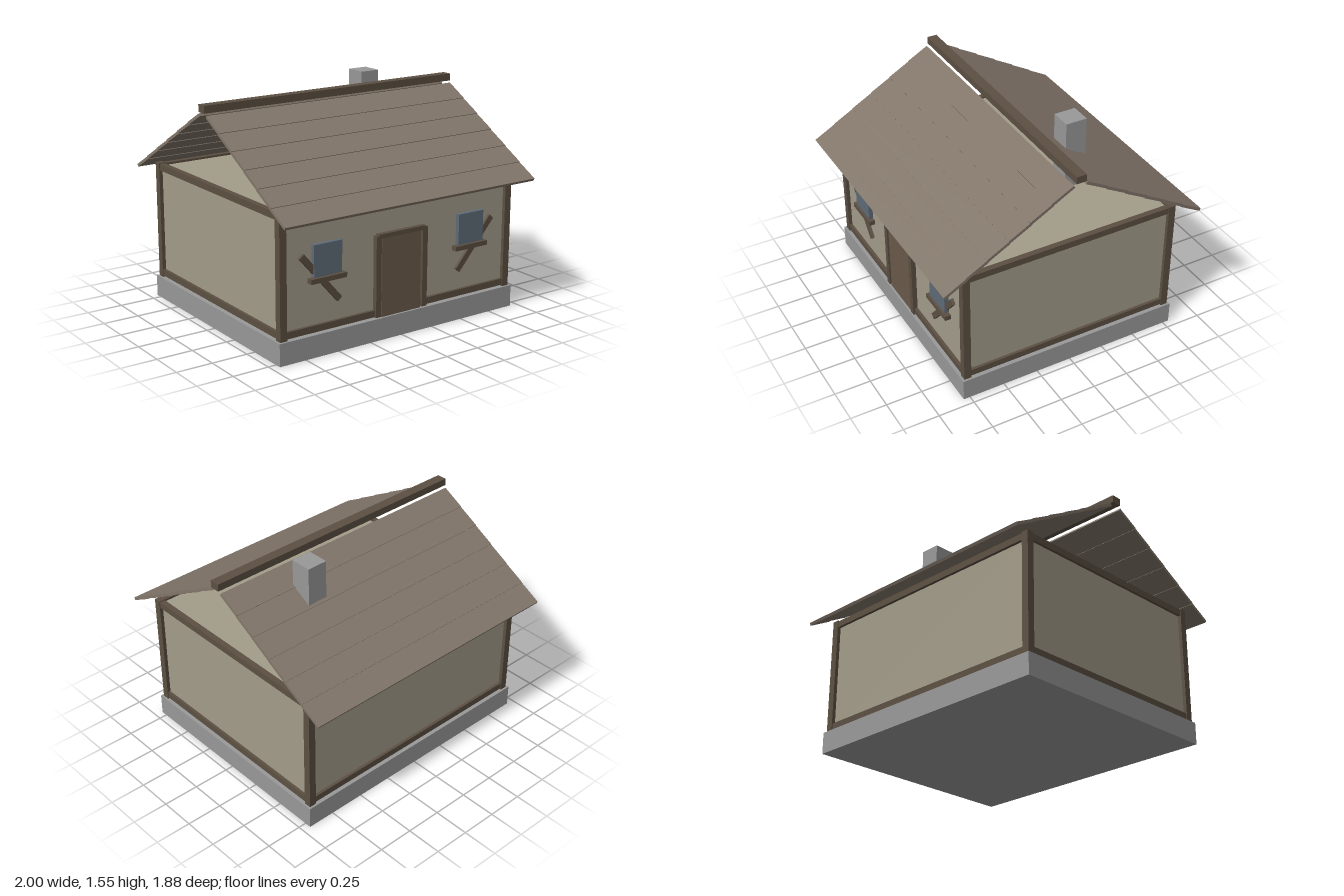
import * as THREE from 'three';

const paint = (color) => new THREE.MeshStandardMaterial({ color });

export function createModel() {
  const house = new THREE.Group();
  house.name = 'cottage';
  const stone = paint(0x999999);
  const plaster = paint(0xa39c8a);
  const timber = paint(0x5c5042);
  const plank = paint(0x82766a);
  const doorWood = paint(0x6a5a4a);
  const glass = paint(0x5f6b78);

  // Box given by its size and centre
  function box(name, material, size, centre, parent = house) {
    const mesh = new THREE.Mesh(new THREE.BoxGeometry(...size), material);
    mesh.position.set(...centre);
    mesh.name = name;
    parent.add(mesh);
    return mesh;
  }

  // Base and walls
  box('foundation', stone, [1.89, 0.15, 1.59], [0, 0.075, 0]);
  box('walls', plaster, [1.81, 0.8, 1.51], [0, 0.55, 0]);

  // Timber frame: corner posts, sill beams and top beams
  for (const x of [-1, 1]) {
    for (const z of [-1, 1]) {
      box('cornerPost', timber, [0.05, 0.82, 0.05], [x * 0.905, 0.56, z * 0.755]);
    }
  }
  for (const [name, y, h] of [['sillBeam', 0.182, 0.045], ['topBeam', 0.942, 0.045]]) {
    for (const s of [-1, 1]) {
      box(name, timber, [1.76, h, 0.04], [0, y, s * 0.755]);
      box(name, timber, [0.04, h, 1.46], [s * 0.905, y, 0]);
    }
  }

  // Door with its frame
  box('door', doorWood, [0.315, 0.53, 0.03], [0, 0.415, 0.765]);
  for (const s of [-1, 1]) {
    box('doorJamb', timber, [0.04, 0.545, 0.04], [s * 0.187, 0.428, 0.768]);
  }
  box('doorLintel', timber, [0.375, 0.03, 0.04], [0, 0.695, 0.768]);

  // Windows with sill and slanted brace
  for (const s of [-1, 1]) {
    box('windowPane', glass, [0.21, 0.21, 0.03], [s * 0.577, 0.625, 0.77]);
    box('windowSill', timber, [0.27, 0.032, 0.05], [s * 0.577, 0.5, 0.772]);
    const brace = box('wallBrace', timber, [0.042, 0.435, 0.025], [s * 0.623, 0.505, 0.762]);
    brace.rotation.z = -s * 0.716;
  }

  // Roof slopes of overlapping planks, each a little flatter than the slope
  const rows = 6;
  const pitch = Math.atan2(0.513, 0.885);
  for (const s of [1, -1]) {
    const slope = new THREE.Group();
    slope.name = s > 0 ? 'frontRoof' : 'backRoof';
    if (s < 0) slope.rotation.y = Math.PI;
    for (let i = 0; i < rows; i++) {
      const t = (i + 0.5) / rows;
      const row = box('roofPlank', plank, [1.98, 0.02, 0.175],
        [0, 1.435 - 0.513 * t, 0.046 + 0.885 * t], slope);
      row.rotation.x = pitch - 0.025;
    }
    house.add(slope);
  }

  // Ridge and chimney
  box('ridgeBeam', timber, [2, 0.05, 0.07], [0, 1.48, 0]);
  box('chimney', stone, [0.145, 0.485, 0.15], [0.452, 1.307, -0.255]);

  return house;
}
